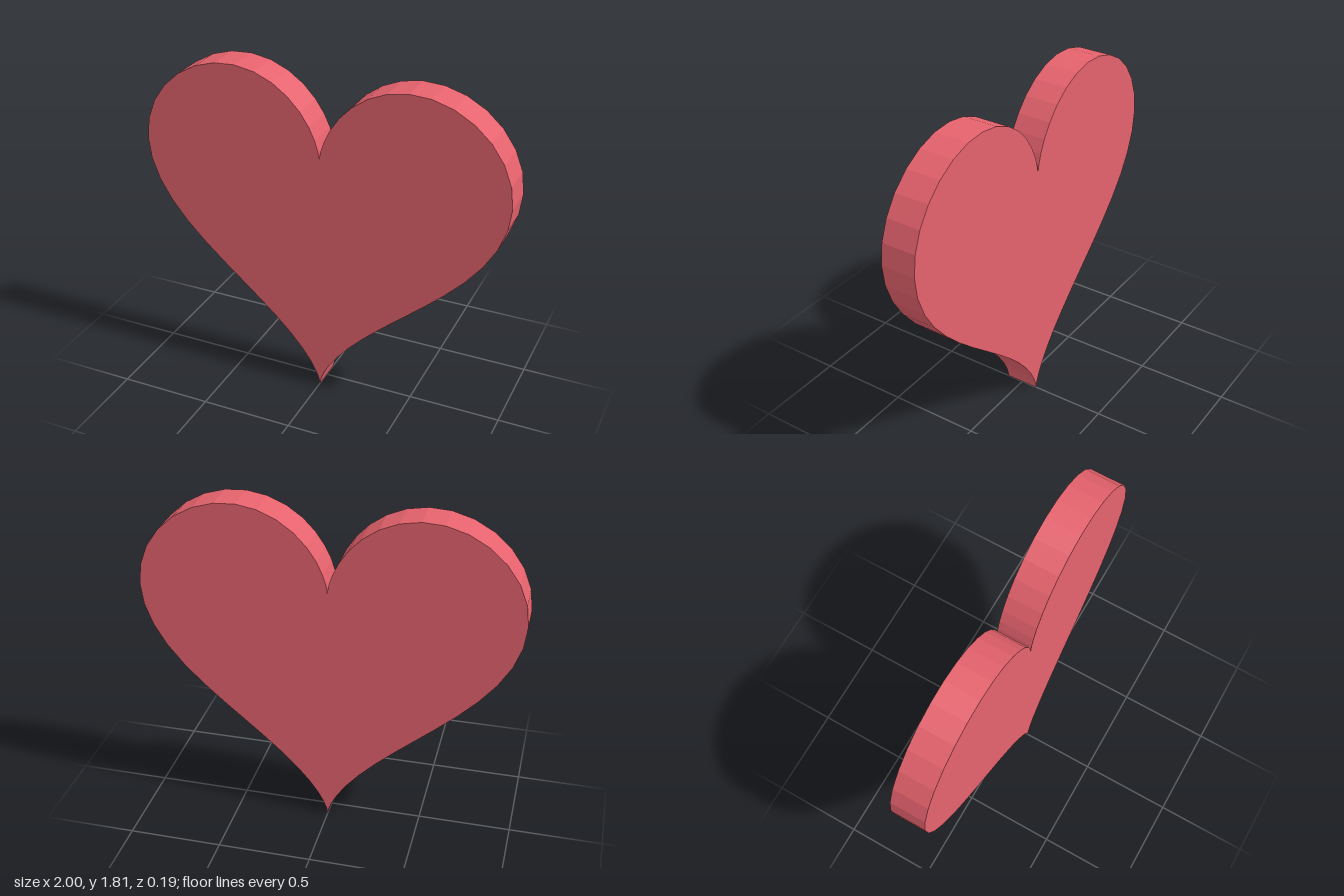
import * as THREE from 'three';

const SEGMENTS = 64;
const SCALE = 1 / 16;
const DEPTH = 3 / 16;

// Classic heart curve, raised so its tip rests on y = 0
function heartPoint(t) {
  const x = 16 * Math.sin(t) ** 3;
  const y = 13 * Math.cos(t) - 5 * Math.cos(2 * t) - 2 * Math.cos(3 * t) - Math.cos(4 * t);
  return new THREE.Vector2(x * SCALE, (y + 17) * SCALE);
}

export function createModel() {
  const group = new THREE.Group();
  group.name = 'heartModel';

  // Outline, counter-clockwise from the notch
  const outline = [];
  for (let i = 0; i < SEGMENTS; i++) {
    outline.push(heartPoint((-i / SEGMENTS) * Math.PI * 2));
  }

  // Flat plate with faceted rim, centred in depth
  const geometry = new THREE.ExtrudeGeometry(new THREE.Shape(outline), {
    depth: DEPTH,
    bevelEnabled: false,
  });
  geometry.translate(0, 0, -DEPTH / 2);

  const heart = new THREE.Mesh(
    geometry,
    new THREE.MeshStandardMaterial({ color: 0xe5626d, flatShading: true })
  );
  heart.name = 'heart';
  group.add(heart);
  return group;
}
